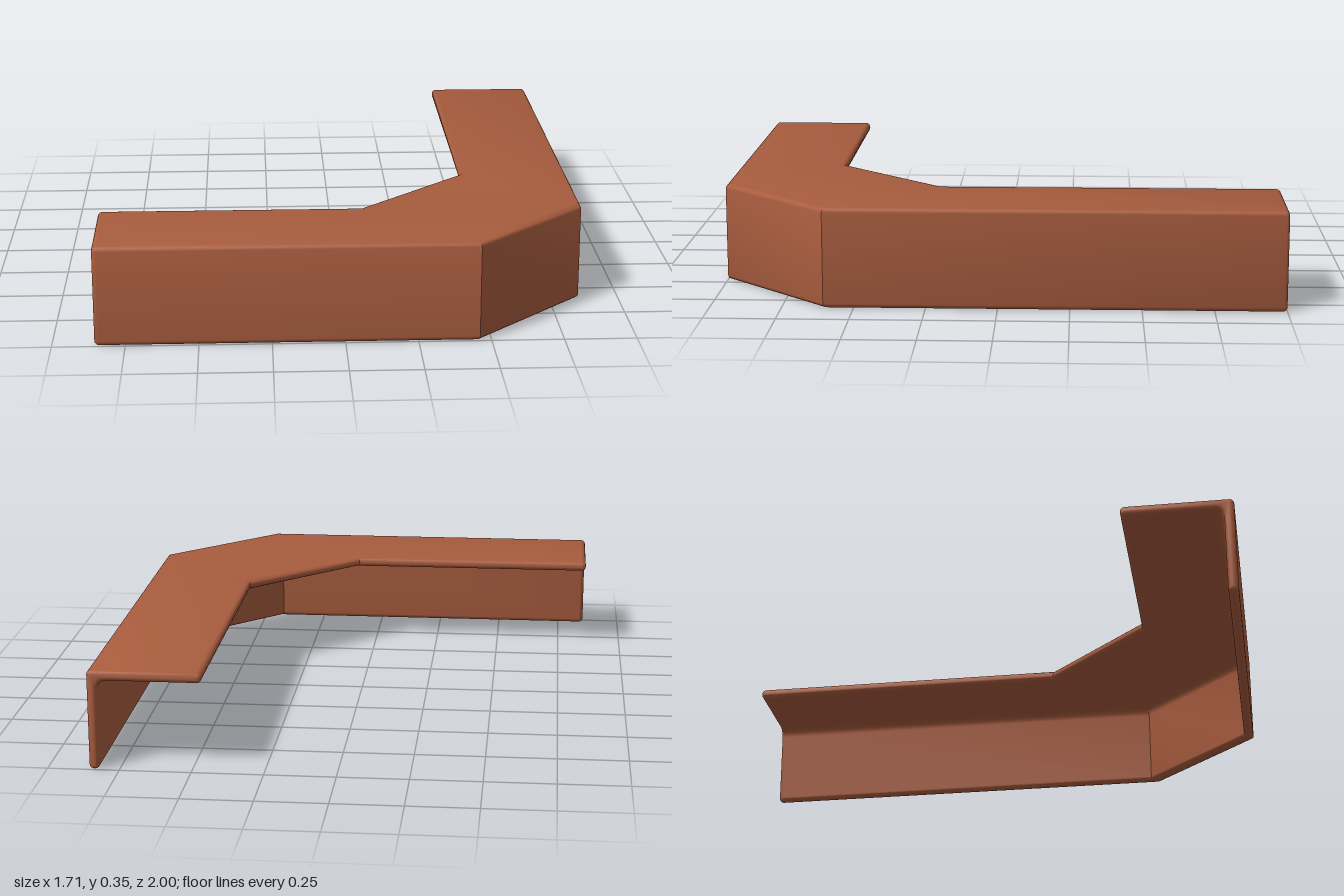
import * as THREE from 'three';
import { toCreasedNormals } from 'three/addons/utils/BufferGeometryUtils.js';

const W = 0.395, H = 0.355; // shelf width and overall height
const T = 0.036;            // plate thickness
const R = 0.016, F = 0.03;  // edge rounding and inner fillet
const X = 0.855, Z = 1;     // half extents

// Angle-shaped section (u = distance inward from the outer face, y = up),
// shrunk by d for the rounded ends.
function section(d) {
  const q = Math.PI / 2, n = 4;
  const corners = [ // centre u, centre y, start angle, sweep, radius
    [R, R, 2 * q, q, R - d],
    [T - R, R, 3 * q, q, R - d],
    [T + F, H - T - F, 2 * q, -q, F + d],
    [W - R, H - T + R, 3 * q, q, R - d],
    [W - R, H - R, 0, q, R - d],
    [R, H - R, q, q, R - d],
  ];
  const pts = [];
  for (const [u, y, start, sweep, r] of corners) {
    for (let i = 0; i <= n; i++) {
      const a = start + sweep * i / n;
      pts.push(new THREE.Vector2(u + r * Math.cos(a), y + r * Math.sin(a)));
    }
  }
  return pts;
}

function cornerRail() {
  const rings = [];
  const add = (d, place) => rings.push(section(d).map(p => place(p.x, p.y)));
  const steps = [0, 1, 2, 3, 4].map(i => {
    const a = (0.07 + 0.93 * i / 4) * Math.PI / 2;
    return [R * (1 - Math.sin(a)), R * (1 - Math.cos(a))];
  });

  // Front arm, slanted corner, then side arm
  for (const [d, s] of steps) add(d, (u, y) => [-X + s, y, Z - u]);
  add(0, (u, y) => [0.46 - u, y, Z - u]);
  add(0, (u, y) => [X - u, y, 0.605 - u]);
  for (const [d, s] of steps.slice().reverse()) add(d, (u, y) => [X - u, y, -Z + s]);

  const n = rings[0].length, index = [];
  for (let k = 0; k < rings.length - 1; k++) {
    for (let i = 0; i < n; i++) {
      const j = (i + 1) % n, a = k * n, b = a + n;
      index.push(a + i, a + j, b + j, a + i, b + j, b + i);
    }
  }
  // End caps
  const last = (rings.length - 1) * n;
  for (const [a, b, c] of THREE.ShapeUtils.triangulateShape(section(steps[0][0]), [])) {
    index.push(a, c, b, last + a, last + b, last + c);
  }
  const g = new THREE.BufferGeometry();
  g.setAttribute('position', new THREE.Float32BufferAttribute(rings.flat(2), 3));
  g.setIndex(index);
  return toCreasedNormals(g, 0.6);
}

export function createModel() {
  const group = new THREE.Group();
  group.name = 'cornerTrim';
  const terracotta = new THREE.MeshStandardMaterial({ color: 0xa85c3e });
  terracotta.name = 'terracotta';
  const rail = new THREE.Mesh(cornerRail(), terracotta);
  rail.name = 'angledCornerRail';
  group.add(rail);
  return group;
}
